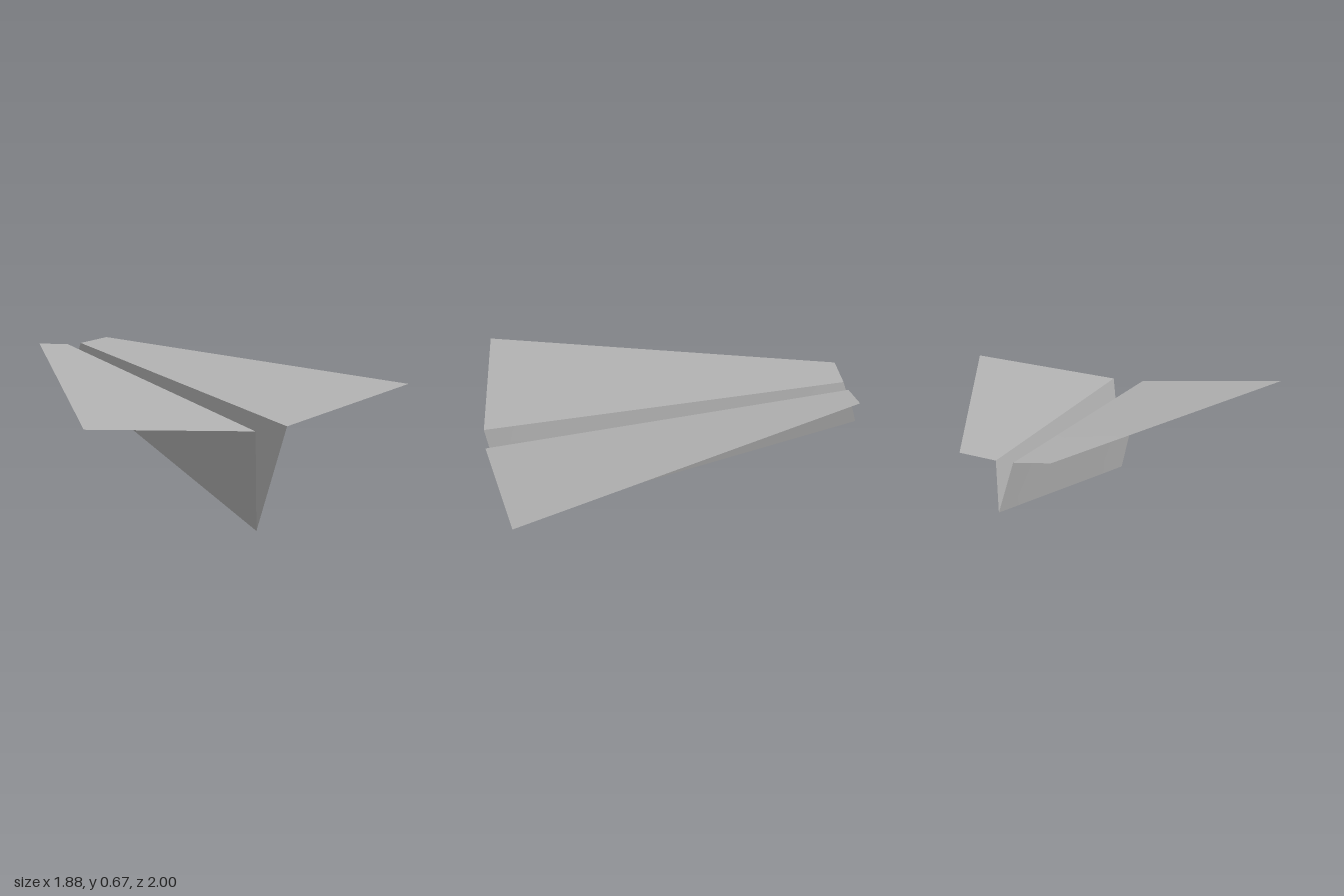
import * as THREE from 'three';

// Smooth four-cornered sheet: corners run front inner, front outer, back inner, back outer
function sheet(name, [a, b, c, d], material, flip) {
  const geometry = new THREE.PlaneGeometry(1, 1, 6, 10);
  const pos = geometry.attributes.position;
  const corners = [a, b, c, d].map((p) => new THREE.Vector3(...p));
  const front = new THREE.Vector3();
  const back = new THREE.Vector3();
  for (let i = 0; i < pos.count; i++) {
    const u = pos.getX(i) + 0.5;
    const v = pos.getY(i) + 0.5;
    front.lerpVectors(corners[0], corners[1], u);
    back.lerpVectors(corners[2], corners[3], u);
    front.lerp(back, v);
    pos.setXYZ(i, front.x, front.y, front.z);
  }
  // Keep the outward side as the front face on both halves
  if (flip) {
    geometry.setIndex(Array.from(geometry.index.array).reverse());
  }
  geometry.computeVertexNormals();
  const mesh = new THREE.Mesh(geometry, material);
  mesh.name = name;
  return mesh;
}

export function createModel() {
  const group = new THREE.Group();
  group.name = 'paperPlane';
  const paper = new THREE.MeshStandardMaterial({ color: 0xb2b2b2, side: THREE.DoubleSide });
  paper.name = 'grey paper';

  // Bottom fold shared by both halves
  const keelFront = [0, 0, 0.9];
  const keelBack = [0, 0.42, -1];

  // The folds differ slightly from side to side
  const halves = [
    { side: 'left', hingeFront: [0.09, 0.527, 1], hingeBack: [0.04, 0.645, -0.93],
      tipFront: [0.94, 0.62, 0.91], tipBack: [0.22, 0.664, -0.935] },
    { side: 'right', hingeFront: [-0.093, 0.527, 1], hingeBack: [-0.046, 0.645, -0.93],
      tipFront: [-0.94, 0.629, 0.915], tipBack: [-0.232, 0.666, -0.935] },
  ];

  for (const h of halves) {
    const flip = h.side === 'right';
    // Upright body panel
    group.add(sheet(`${h.side}BodyPanel`, [keelFront, h.hingeFront, keelBack, h.hingeBack], paper, !flip));
    // Wing
    group.add(sheet(`${h.side}Wing`, [h.hingeFront, h.tipFront, h.hingeBack, h.tipBack], paper, flip));
  }
  return group;
}
